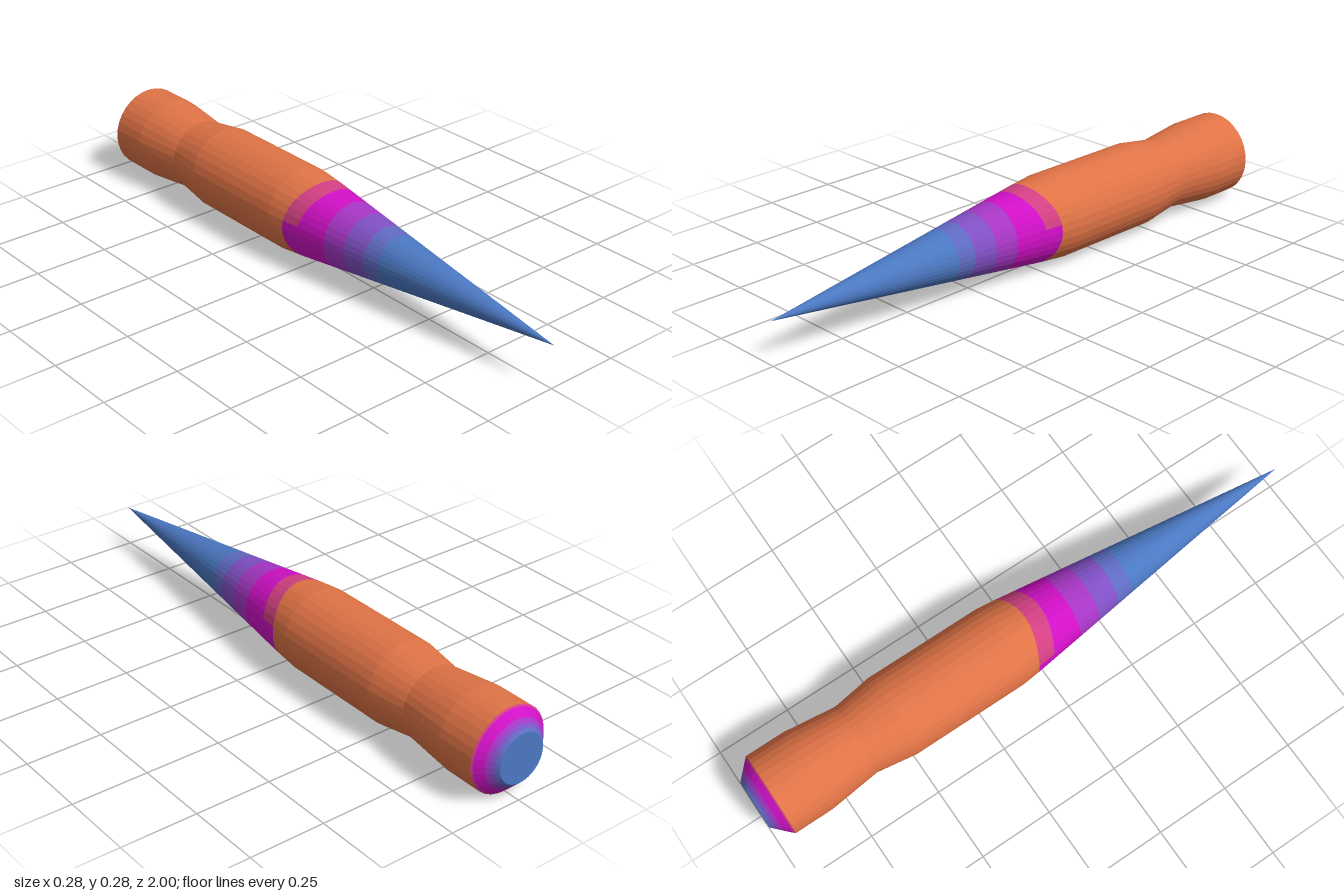
import * as THREE from 'three';

const SIDES = 32, AXIS_Y = 0.142;
const mat = (name, color) => new THREE.MeshStandardMaterial({ name, color, flatShading: true, side: THREE.DoubleSide });
const coneR = z => 0.13 * (1 - z);

export function createModel() {
  const model = new THREE.Group();
  model.name = 'spike';

  const orange = mat('orange', 0xe07346);
  const blue = mat('blue', 0x4b78c2);
  const slate = mat('slateBlue', 0x5f6bc2);
  const violet = mat('violet', 0x8050c4);
  const purple = mat('purple', 0xa636c4);
  const magenta = mat('magenta', 0xd010c6);
  const pink = mat('pink', 0xd24083);

  // Turned part along z. Points are [z, radius], back to front.
  // Points marked with a third value bend forward at the top and bottom.
  function turned(name, points, material, start = 0, length = Math.PI * 2) {
    const segments = Math.round(SIDES * length / (Math.PI * 2));
    const geo = new THREE.LatheGeometry(points.map(([z, r]) => new THREE.Vector2(r, z)), segments, start, length);
    geo.rotateX(Math.PI / 2);
    const pos = geo.attributes.position;
    for (let i = 0; i < pos.count; i++) {
      const bend = points[i % points.length][2];
      if (!bend) continue;
      const x = pos.getX(i), y = pos.getY(i), r = Math.hypot(x, y);
      const z = pos.getZ(i) + bend * (y / r) ** 2;
      const k = coneR(z) / r;
      pos.setXYZ(i, x * k, y * k, z);
    }
    geo.computeVertexNormals();
    const mesh = new THREE.Mesh(geo, material);
    mesh.name = name;
    mesh.position.y = AXIS_Y;
    model.add(mesh);
  }

  // Handle with a narrow neck
  const rim = [-0.035, coneR(-0.035), 0.035];
  turned('handle', [
    [-0.943, 0.141], [-0.81, 0.141], [-0.72, 0.131], [-0.635, 0.121],
    [-0.56, 0.132], [-0.5, 0.141], [-0.1, 0.141], rim,
  ], orange);

  // Collar where the handle meets the cone: pink above, magenta below
  const collar = [rim, [0.028, coneR(0.028), 0.032]];
  turned('collarTop', collar, pink, Math.PI * 0.5625, Math.PI * 0.875);
  turned('collarBottom', collar, magenta, -Math.PI * 0.5625, Math.PI * 1.125);

  // Coloured bands running into the point
  turned('magentaBand', [collar[1], [0.14, coneR(0.14)]], magenta);
  const bands = [[0.14, 0.22, purple], [0.22, 0.3, violet], [0.3, 0.36, slate], [0.36, 1, blue]];
  for (const [a, b, m] of bands) {
    turned(b === 1 ? 'point' : m.name + 'Band', [[a, coneR(a)], [b, coneR(b)]], m);
  }

  // Bevelled butt with rings of colour and a flat cap
  const bevelZ = r => -1 + (r - 0.082) * (0.057 / 0.059);
  const rings = [[0.082, 0.092, slate], [0.092, 0.102, violet], [0.102, 0.113, purple], [0.113, 0.136, magenta], [0.136, 0.141, pink]];
  for (const [a, b, m] of rings) {
    turned(m.name + 'ButtRing', [[bevelZ(a), a], [bevelZ(b), b]], m);
  }
  turned('buttCap', [[-1, 0], [-1, 0.082]], blue);

  return model;
}
